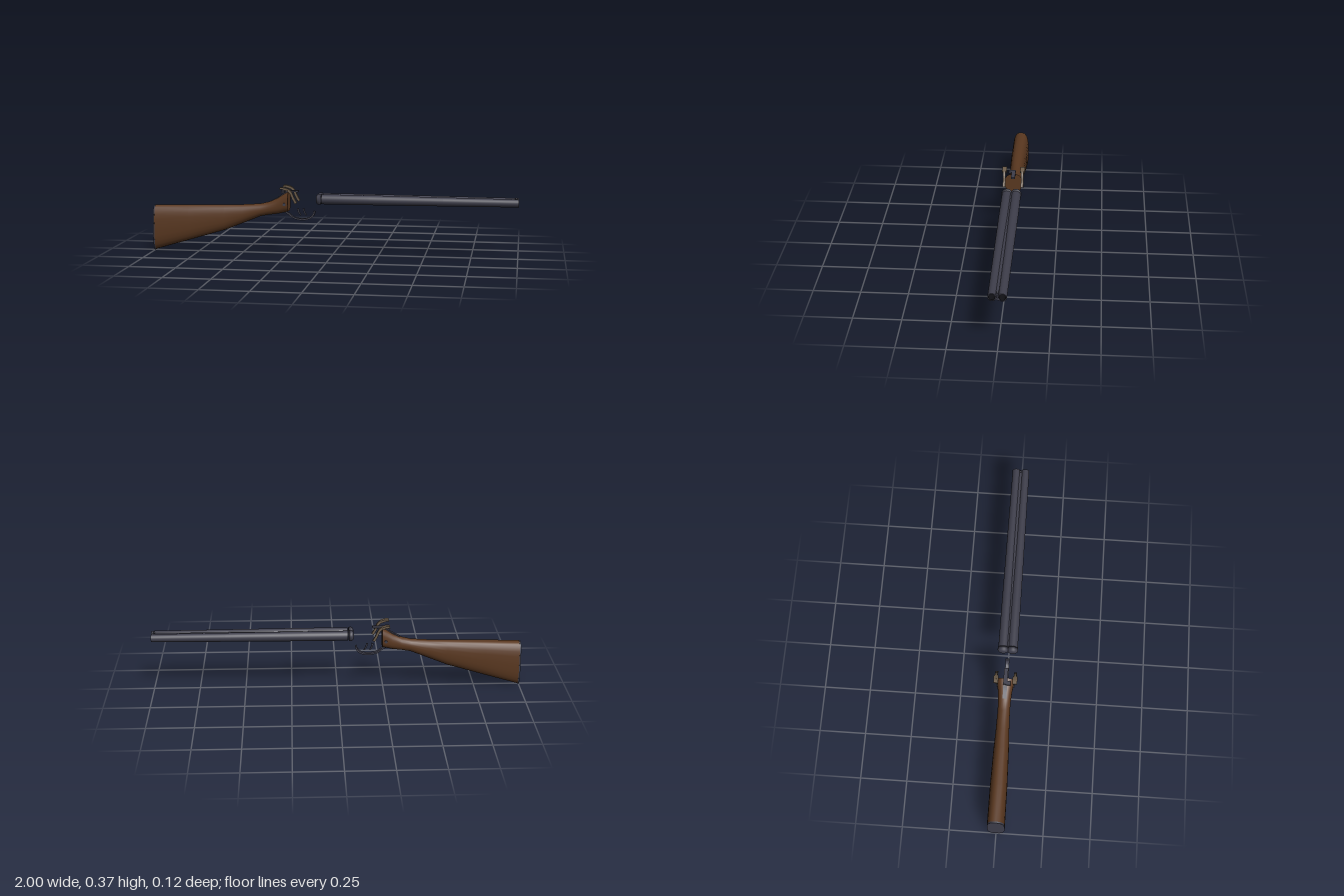
import * as THREE from 'three';

const mat = (name, color) => {
  const m = new THREE.MeshStandardMaterial({ color });
  m.name = name;
  return m;
};

export function createModel() {
  const root = new THREE.Group();
  root.name = 'doubleBarrelGun';
  const wood = mat('walnut', 0x5a3820);
  const steel = mat('blued steel', 0x3e3e4b);
  const brass = mat('aged hammer metal', 0x6a5a48);
  const dark = mat('dark bore', 0x101014);
  dark.side = THREE.DoubleSide;

  const add = (name, geo, material, x = 0, y = 0, z = 0) => {
    const mesh = new THREE.Mesh(geo, material);
    mesh.name = name;
    mesh.position.set(x, y, z);
    root.add(mesh);
    return mesh;
  };

  // Lofts rounded cross-sections [x, bottom, top, halfWidth, exponent] along x, with end caps
  const loft = (sections, n = 24) => {
    const pos = [], idx = [];
    const ring = ([x, b, t, w, e]) => {
      for (let j = 0; j < n; j++) {
        const a = (j / n) * Math.PI * 2, c = Math.cos(a), s = Math.sin(a);
        pos.push(x, (b + t) / 2 + ((t - b) / 2) * Math.sign(s) * Math.abs(s) ** (2 / e),
          w * Math.sign(c) * Math.abs(c) ** (2 / e));
      }
    };
    sections.forEach(ring);
    for (let i = 0; i < sections.length - 1; i++) {
      for (let j = 0; j < n; j++) {
        const a = i * n + j, b = i * n + ((j + 1) % n);
        idx.push(a, a + n, b, b, a + n, b + n);
      }
    }
    [sections[0], sections[sections.length - 1]].forEach((s, end) => {
      const base = pos.length / 3;
      ring(s);
      pos.push(s[0], (s[1] + s[2]) / 2, 0);
      for (let j = 0; j < n; j++) {
        const a = base + j, b = base + ((j + 1) % n);
        if (end) idx.push(base + n, b, a);
        else idx.push(base + n, a, b);
      }
    });
    const g = new THREE.BufferGeometry();
    g.setAttribute('position', new THREE.Float32BufferAttribute(pos, 3));
    g.setIndex(idx);
    g.computeVertexNormals();
    return g;
  };

  // Curved strip in the xy plane, tapering from w0 to w1, centred in z
  const strip = (pts, w0, w1, depth, steps = 14) => {
    const curve = new THREE.SplineCurve(pts.map(p => new THREE.Vector2(...p)));
    const upper = [], lower = [];
    for (let i = 0; i <= steps; i++) {
      const t = i / steps, p = curve.getPoint(t), d = curve.getTangent(t);
      const h = (w0 + (w1 - w0) * t) / 2;
      upper.push(new THREE.Vector2(p.x - d.y * h, p.y + d.x * h));
      lower.unshift(new THREE.Vector2(p.x + d.y * h, p.y - d.x * h));
    }
    const g = new THREE.ExtrudeGeometry(new THREE.Shape([...upper, ...lower]), { depth, bevelEnabled: false });
    return g.translate(0, 0, -depth / 2);
  };

  // Revolved part lying along x
  const lathe = pts => new THREE.LatheGeometry(pts.map(p => new THREE.Vector2(...p)), 28).rotateZ(-Math.PI / 2);

  // Stock and butt plate
  add('stock', loft([
    [-0.992, 0.005, 0.253, 0.047, 2.8],
    [-0.8, 0.062, 0.258, 0.046, 2.6],
    [-0.6, 0.122, 0.263, 0.041, 2.4],
    [-0.5, 0.162, 0.265, 0.036, 2.2],
    [-0.4, 0.203, 0.272, 0.033, 2.1],
    [-0.35, 0.212, 0.284, 0.033, 2.2],
    [-0.3, 0.219, 0.308, 0.037, 2.4],
    [-0.265, 0.228, 0.331, 0.043, 2.6],
    [-0.243, 0.234, 0.342, 0.047, 2.8],
  ]), wood);
  add('buttPlate', loft([[-1, 0, 0.253, 0.046, 2.8], [-0.992, 0.004, 0.254, 0.0475, 2.8]]), steel);

  // Paired barrels, breech ends and hammers
  const y = 0.306;
  for (const side of [1, -1]) {
    const z = side * 0.025;
    add('barrel', lathe([[0.017, -0.057], [0.0268, -0.057], [0.0265, 0.2], [0.024, 0.6], [0.0215, 1]]), steel, 0, y, z);
    add('muzzleRim', new THREE.RingGeometry(0.0165, 0.0215, 28).rotateY(Math.PI / 2), steel, 1, y, z);
    add('bore', new THREE.CylinderGeometry(0.0165, 0.0165, 1.056, 28, 1, true).rotateZ(Math.PI / 2), dark, 0.471, y, z);
    add('breechEnd', lathe([
      [0, -0.088], [0.017, -0.088], [0.025, -0.083], [0.0295, -0.076], [0.0295, -0.062], [0, -0.062],
    ]), steel, 0, y, z);

    const hz = side * 0.05;
    add('hammer', strip([[-0.262, 0.363], [-0.238, 0.355], [-0.222, 0.338], [-0.21, 0.31], [-0.195, 0.284]],
      0.014, 0.013, 0.014), brass, 0, 0, hz);
    add('hammerSpur', strip([[-0.282, 0.365], [-0.262, 0.364], [-0.24, 0.356]], 0.009, 0.014, 0.025, 6), brass, 0, 0, hz);
    add('lockScrew', new THREE.CylinderGeometry(0.008, 0.008, 0.008, 12).rotateX(Math.PI / 2),
      steel, -0.262, 0.275, side * 0.044);
  }

  // Ribs joining the barrels, and the front bead
  add('topRib', new THREE.BoxGeometry(1.05, 0.01, 0.014), steel, 0.47, 0.317, 0);
  add('lowerRib', new THREE.BoxGeometry(1.05, 0.012, 0.016), steel, 0.47, 0.294, 0);
  add('barrelLug', new THREE.BoxGeometry(0.655, 0.012, 0.018), steel, 0.27, 0.287, 0);
  add('frontBead', new THREE.SphereGeometry(0.006, 12, 8), steel, 0.985, 0.327, 0);

  // Tang and opening lever over the wrist
  add('topTang', strip([[-0.34, 0.288], [-0.3, 0.309], [-0.265, 0.333], [-0.24, 0.343]], 0.005, 0.008, 0.02), steel);
  add('topLever', new THREE.BoxGeometry(0.09, 0.009, 0.022), steel, -0.235, 0.344, 0);
  add('leverThumbPiece', new THREE.BoxGeometry(0.022, 0.009, 0.02), steel, -0.272, 0.342, 0.018);

  // Trigger guard and the two triggers
  add('triggerGuard', strip([
    [-0.268, 0.232], [-0.245, 0.22], [-0.215, 0.198], [-0.17, 0.189], [-0.13, 0.197], [-0.108, 0.216], [-0.101, 0.237],
  ], 0.009, 0.01, 0.02, 28), steel);
  for (const x of [-0.193, -0.162]) {
    add('trigger', strip([[x, 0.25], [x + 0.004, 0.232], [x + 0.015, 0.212]], 0.01, 0.006, 0.009, 8), steel);
  }
  return root;
}
